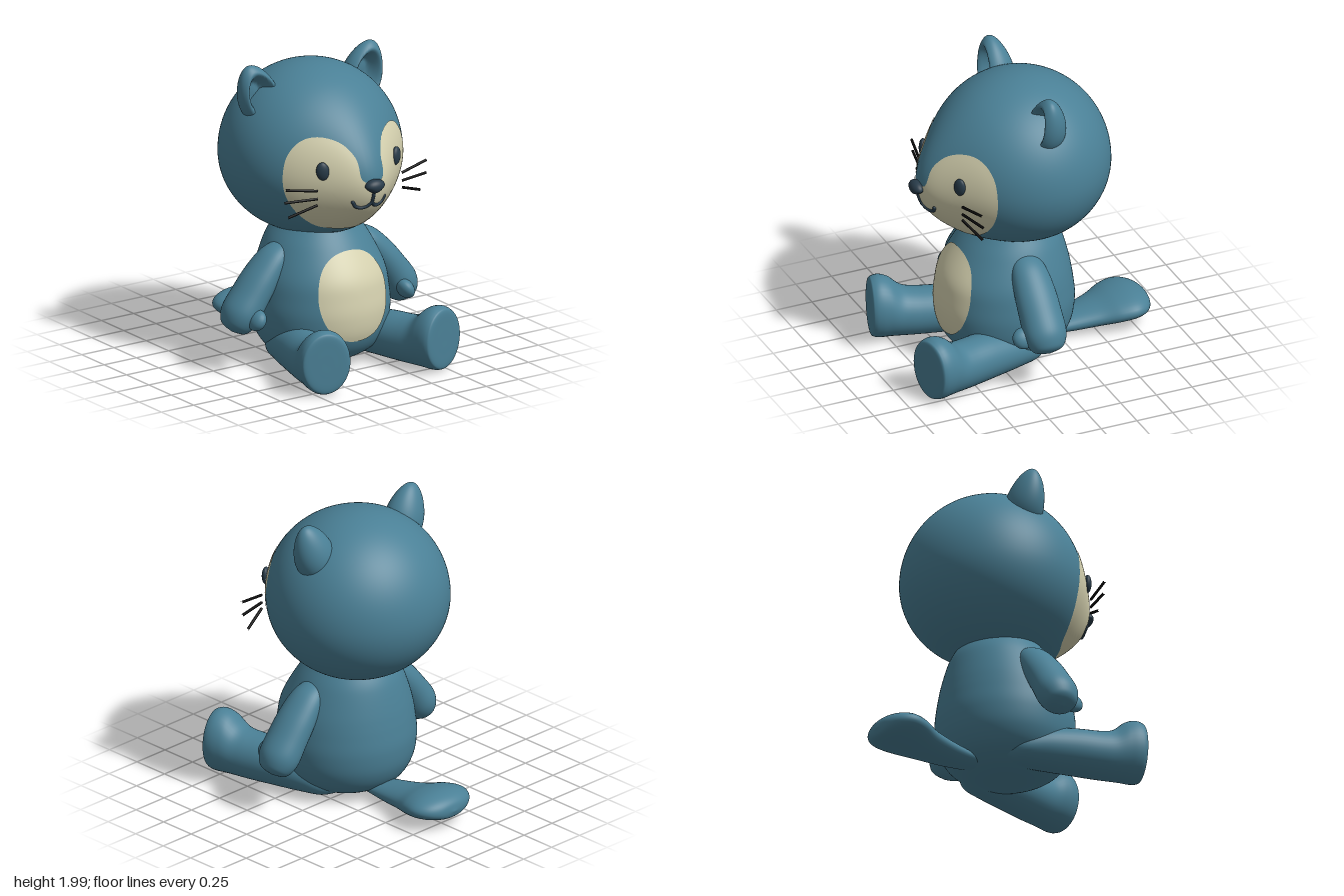
import * as THREE from 'three';
import { mergeVertices } from 'three/addons/utils/BufferGeometryUtils.js';

const material = (name, color) => {
  const m = new THREE.MeshStandardMaterial({ color });
  m.name = name;
  return m;
};
const V = (x, y, z) => new THREE.Vector3(x, y, z);

// Weld seams and recompute smooth normals.
function smooth(geo) {
  geo.deleteAttribute('uv');
  geo.deleteAttribute('normal');
  const g = mergeVertices(geo, 1e-5);
  g.computeVertexNormals();
  return g;
}

// Move every vertex by a rule.
function reshape(geo, rule) {
  const p = geo.attributes.position, v = V();
  for (let i = 0; i < p.count; i++) {
    rule(v.fromBufferAttribute(p, i));
    p.setXYZ(i, v.x, v.y, v.z);
  }
  return smooth(geo);
}

// Mirror across x = 0, keeping faces outward.
function mirror(geo) {
  const g = geo.clone().scale(-1, 1, 1), id = g.index;
  for (let i = 0; i < id.count; i += 3) {
    const a = id.getX(i);
    id.setX(i, id.getX(i + 1));
    id.setX(i + 1, a);
  }
  return g;
}

// Join rings of n points; closed around each ring.
function skin(rings) {
  const n = rings[0].length, pos = [], idx = [];
  rings.forEach((r) => r.forEach((p) => pos.push(p.x, p.y, p.z)));
  for (let i = 0; i < rings.length - 1; i++) {
    for (let j = 0; j < n; j++) {
      const a = i * n + j, b = i * n + (j + 1) % n;
      idx.push(a, b, b + n, a, b + n, a + n);
    }
  }
  const g = new THREE.BufferGeometry();
  g.setAttribute('position', new THREE.Float32BufferAttribute(pos, 3));
  g.setIndex(idx);
  return smooth(g);
}

// Elliptical sections [x, y, z, half-u, half-v] blended along a path.
function loft(stations, u, v) {
  const curve = (pts) => new THREE.CatmullRomCurve3(pts, false, 'catmullrom', 0.5);
  const mid = curve(stations.map((s) => V(s[0], s[1], s[2])));
  const size = curve(stations.map((s) => V(s[3], s[4], 0)));
  const rings = [], steps = (stations.length - 1) * 7;
  for (let i = 0; i <= steps; i++) {
    const c = mid.getPoint(i / steps), s = size.getPoint(i / steps), ring = [];
    for (let j = 0; j < 40; j++) {
      const t = (j / 40) * Math.PI * 2;
      ring.push(c.clone().addScaledVector(u, Math.max(0, s.x) * Math.cos(t))
        .addScaledVector(v, Math.max(0, s.y) * Math.sin(t)));
    }
    rings.push(ring);
  }
  return skin(rings);
}

// Lay a flat outline over a surface z(x, y), just above it.
function drape(outline, cx, cy, zAt) {
  const rings = [];
  for (let k = 12; k >= 0; k--) {
    rings.push(outline.map((p) => {
      const x = cx + (p.x - cx) * k / 12, y = cy + (p.y - cy) * k / 12;
      return V(x, y, zAt(x, y) + 0.006);
    }));
  }
  return skin(rings);
}

// Head: ellipsoid drawn forward into a soft muzzle.
const HY = 1.36, HX = 0.595, HZ = 0.58;
const headRy = (y) => (y > HY ? 0.59 : 0.533);
const muzzle = (x, y, z) => 0.14 * Math.exp(-((x / 0.25) ** 2) - ((y - 1.24) / 0.4) ** 2)
  * THREE.MathUtils.clamp(z / 0.3, 0, 1);
function headZ(x, y) {
  const z = HZ * Math.sqrt(Math.max(0, 1 - (x / HX) ** 2 - ((y - HY) / headRy(y)) ** 2));
  return z + muzzle(x, y, z);
}

// Body: round profile, leaning slightly back towards the neck.
const profile = new THREE.SplineCurve([
  [0, 0.005], [0.15, 0.015], [0.27, 0.05], [0.37, 0.12], [0.43, 0.23], [0.45, 0.36],
  [0.442, 0.48], [0.415, 0.62], [0.345, 0.79], [0.285, 0.89], [0.24, 0.95],
].map((p) => new THREE.Vector2(...p))).getPoints(80);
const lean = (y) => 0.11 - 0.04 * THREE.MathUtils.smoothstep(y, 0.55, 0.9);
function bodyZ(x, y) {
  const i = Math.max(1, profile.findIndex((p) => p.y >= y));
  const a = profile[i - 1], b = profile[i];
  const r = a.x + (b.x - a.x) * (y - a.y) / (b.y - a.y);
  return lean(y) + Math.sqrt(Math.max(0, r * r - x * x));
}

export function createModel() {
  const group = new THREE.Group();
  group.name = 'plushAnimal';
  const fur = material('blue fur', 0x4a8096);
  const cream = material('cream', 0xd6d2b0);
  const navy = material('dark navy', 0x283b49);
  const black = material('black', 0x0b0b0b);

  const add = (name, geo, mat) => {
    const m = new THREE.Mesh(geo, mat);
    m.name = name;
    group.add(m);
  };
  const pair = (name, geo, mat) => {
    add('left' + name, geo, mat);
    add('right' + name, mirror(geo), mat);
  };

  add('head', reshape(new THREE.SphereGeometry(1, 96, 72), (v) => {
    v.x *= HX;
    v.y = HY + v.y * (v.y > 0 ? 0.59 : 0.533);
    v.z *= HZ;
    v.z += muzzle(v.x, v.y, v.z);
  }), fur);
  add('body', reshape(new THREE.LatheGeometry(profile, 80), (v) => { v.z += lean(v.y); }), fur);

  // Face mask, one half mirrored
  const mask = new THREE.Shape();
  mask.moveTo(0, 0.955);
  mask.splineThru([[0.12, 0.963], [0.24, 0.995], [0.36, 1.09], [0.44, 1.21], [0.468, 1.34], [0.445, 1.48],
    [0.37, 1.58], [0.27, 1.612], [0.16, 1.575], [0.095, 1.48], [0.08, 1.35], [0, 1.31],
  ].map((p) => new THREE.Vector2(...p)));
  mask.closePath();
  pair('FaceMask', drape(mask.getSpacedPoints(140).slice(0, -1), 0.25, 1.27, headZ), cream);

  // Belly patch
  const oval = [];
  for (let i = 0; i < 72; i++) {
    const t = (i / 72) * Math.PI * 2, c = Math.cos(t), s = Math.sin(t);
    oval.push({ x: 0.26 * Math.sign(c) * Math.abs(c) ** 0.9, y: 0.5 + 0.29 * Math.sign(s) * Math.abs(s) ** 0.95 });
  }
  add('bellyPatch', drape(oval, 0, 0.5, bodyZ), cream);

  // Ears: tapered shells with a hollow front
  const ear = reshape(new THREE.SphereGeometry(1, 56, 48), (v) => {
    const rho = Math.hypot(v.x, v.y);
    if (v.z > 0) v.z = v.z * 0.9 - 1.15 * (1 - THREE.MathUtils.smoothstep(rho, 0.3, 0.82));
    v.set(v.x * 0.135 * (1 - 0.2 * v.y), v.y * 0.205, v.z * 0.125 * (1 - 0.3 * v.y));
  });
  pair('Ear', ear.rotateZ(-0.36).translate(0.41, 1.803, 0), fur);

  // Eyes, nose and mouth
  const eye = smooth(new THREE.SphereGeometry(1, 28, 20));
  pair('Eye', eye.scale(0.042, 0.06, 0.025).rotateZ(-0.1).rotateY(0.5)
    .translate(0.285, 1.405, headZ(0.285, 1.405) + 0.012), navy);
  add('nose', reshape(new THREE.SphereGeometry(1, 32, 24), (v) => {
    const w = 0.072 * (v.y < 0 ? 1 + 0.45 * v.y : 1);
    v.set(v.x * w, 1.3 + v.y * 0.046, 0.725 + v.z * 0.045);
  }), navy);
  const onFace = (pts) => new THREE.CatmullRomCurve3(pts.map(([x, y]) => V(x, y, headZ(x, y) + 0.006)));
  const tube = (curve, r) => smooth(new THREE.TubeGeometry(curve, 28, r, 10));
  add('mouthLine', tube(onFace([[0, 1.27], [0, 1.23], [0, 1.185]]), 0.012), navy);
  pair('MouthCurve', tube(onFace([[0, 1.185], [0.025, 1.16], [0.06, 1.15], [0.1, 1.163], [0.122, 1.195]]), 0.012), navy);
  const mouthEnd = smooth(new THREE.SphereGeometry(0.0125, 12, 8));
  pair('MouthEnd', mouthEnd.translate(0.122, 1.195, headZ(0.122, 1.195) + 0.006), navy);

  // Whiskers
  [[1.28, 0.545, 1.315, 0.51], [1.227, 0.55, 1.227, 0.5], [1.185, 0.51, 1.118, 0.49]].forEach(([y0, x1, y1, z1], i) => {
    const line = new THREE.LineCurve3(V(0.325, y0, 0.55), V(x1, y1, z1));
    pair('Whisker' + (i + 1), smooth(new THREE.TubeGeometry(line, 1, 0.009, 8)), black);
  });

  // Arms hang outwards, with a small thumb
  pair('Arm', loft([
    [0.27, 0.81, 0.1, 0, 0], [0.285, 0.79, 0.1, 0.05, 0.07], [0.35, 0.725, 0.1, 0.09, 0.115], [0.45, 0.61, 0.1, 0.108, 0.135],
    [0.54, 0.49, 0.1, 0.117, 0.14], [0.61, 0.39, 0.1, 0.122, 0.14], [0.65, 0.325, 0.1, 0.1, 0.115],
    [0.668, 0.295, 0.1, 0.065, 0.075], [0.675, 0.282, 0.1, 0, 0],
  ], V(0.83, 0.56, 0), V(0, 0, 1)), fur);
  const thumb = smooth(new THREE.SphereGeometry(1, 24, 18));
  pair('Thumb', thumb.scale(0.05, 0.07, 0.075).rotateZ(0.5).translate(0.575, 0.375, 0.235), fur);

  // Legs stretch forward to flat upright feet
  const leg = loft([
    [0, 0.11, -0.05, 0.05, 0.05], [0, 0.12, 0.05, 0.12, 0.095], [0, 0.148, 0.2, 0.145, 0.133], [0, 0.163, 0.4, 0.153, 0.152],
    [0, 0.167, 0.58, 0.155, 0.158], [0, 0.178, 0.67, 0.157, 0.168], [0, 0.21, 0.75, 0.167, 0.2],
    [0, 0.22, 0.81, 0.172, 0.212], [0, 0.22, 0.855, 0.166, 0.205], [0, 0.22, 0.875, 0.145, 0.182],
    [0, 0.22, 0.878, 0.07, 0.09], [0, 0.22, 0.878, 0, 0],
  ], V(1, 0, 0), V(0, 1, 0));
  pair('Leg', leg.rotateY(0.258).translate(0.232, 0, 0), fur);

  // Paddle-shaped tail resting behind
  add('tail', loft([
    [0, 0.075, -0.05, 0.08, 0.03], [0, 0.085, -0.3, 0.12, 0.06], [0, 0.108, -0.5, 0.165, 0.078],
    [0, 0.135, -0.63, 0.22, 0.09], [0, 0.147, -0.73, 0.235, 0.09], [0, 0.145, -0.81, 0.195, 0.077],
    [0, 0.138, -0.86, 0.115, 0.05], [0, 0.133, -0.88, 0, 0],
  ], V(-1, 0, 0), V(0, 1, 0)), fur);

  return group;
}
